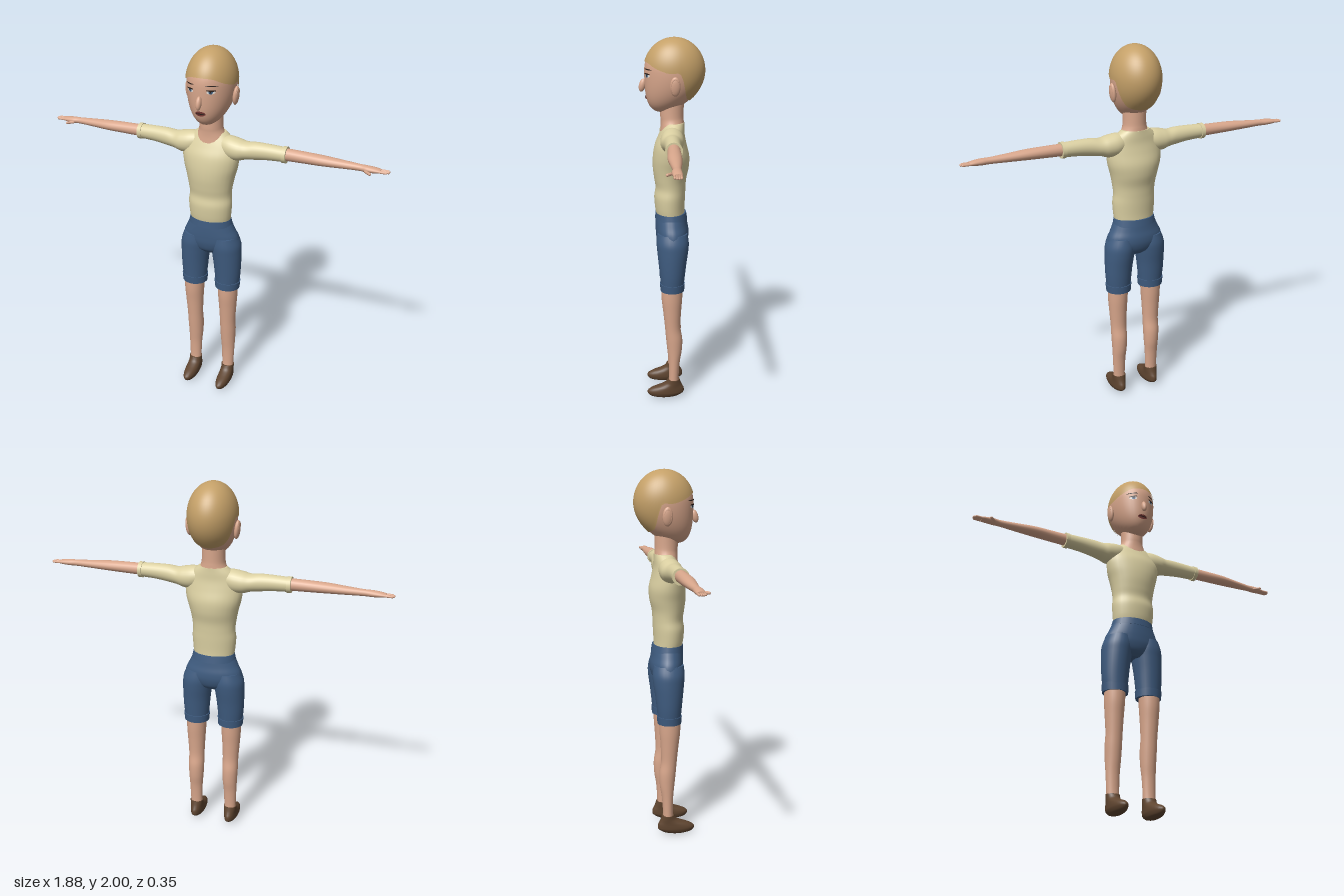
import * as THREE from 'three';

const mat = (name, color) => Object.assign(new THREE.MeshStandardMaterial({ color }), { name });
const skin = mat('skin', 0xd9a78c);
const hair = mat('hair', 0xc4a068);
const cloth = mat('shirt cloth', 0xdbd0a2);
const denim = mat('blue denim', 0x3f5c80);
const leather = mat('brown leather', 0x5f4530);
const dark = mat('dark lash', 0x2e211c);
const white = mat('eye white', 0xe6e2dc);
const blue = mat('iris blue', 0x41688e);
const lip = mat('lip', 0x7a3a36);

// Closed tube surface: fn(angle, t) gives a point; the ends get flat caps if wanted
function tube(fn, nu, nv, capped) {
  const pos = [], idx = [];
  for (let j = 0; j <= nv; j++)
    for (let i = 0; i < nu; i++) pos.push(...fn(i / nu * Math.PI * 2, j / nv));
  for (let j = 0; j < nv; j++)
    for (let i = 0; i < nu; i++) {
      const a = j * nu + i, b = j * nu + (i + 1) % nu;
      idx.push(a, b, b + nu, a, b + nu, a + nu);
    }
  if (capped) for (const end of [0, 1]) {
    const start = pos.length / 3, mid = [0, 0, 0];
    for (let i = 0; i < nu; i++) {
      const p = fn(i / nu * Math.PI * 2, end);
      p.forEach((c, k) => { mid[k] += c / nu; });
      pos.push(...p);
    }
    pos.push(...mid);
    for (let i = 0; i < nu; i++) {
      const a = start + i, b = start + (i + 1) % nu;
      idx.push(...(end ? [a, b, start + nu] : [b, a, start + nu]));
    }
  }
  const g = new THREE.BufferGeometry();
  g.setAttribute('position', new THREE.Float32BufferAttribute(pos, 3));
  g.setIndex(idx);
  g.computeVertexNormals();
  return g;
}

// Smooth loft through elliptical rings.
// axis y: [y, xMin, xMax, zMin, zMax]   axis x: [x, yMin, yMax, zMin, zMax]
function loft(rings, axis = 'y', nu = 28, steps = 5) {
  const n = rings.length - 1;
  const at = (t) => {
    const s = t * n, i = Math.min(Math.floor(s), n - 1), f = s - i;
    const [p, a, b, q] = [-1, 0, 1, 2].map((d) => rings[Math.min(n, Math.max(0, i + d))]);
    return a.map((_, k) => {
      const m0 = (b[k] - p[k]) / 2, m1 = (q[k] - a[k]) / 2;
      return a[k] + f * (m0 + f * (3 * (b[k] - a[k]) - 2 * m0 - m1 + f * (m0 + m1 - 2 * (b[k] - a[k]))));
    });
  };
  return tube((th, t) => {
    const [h, a0, a1, z0, z1] = at(t);
    const ca = (a0 + a1) / 2, ra = (a1 - a0) / 2, cz = (z0 + z1) / 2, rz = (z1 - z0) / 2;
    return axis === 'y'
      ? [ca + ra * Math.sin(th), h, cz + rz * Math.cos(th)]
      : [h, ca + ra * Math.cos(th), cz + rz * Math.sin(th)];
  }, nu, n * steps, true);
}

function mirrored(geo) {
  const g = geo.clone().scale(-1, 1, 1), ix = g.index;
  for (let i = 0; i < ix.count; i += 3) {
    const b = ix.getX(i + 1);
    ix.setX(i + 1, ix.getX(i + 2));
    ix.setX(i + 2, b);
  }
  g.computeVertexNormals();
  return g;
}

// Egg-shaped head: angle around, latitude up
const headPoint = (th, lat, out = 0) => {
  const s = Math.sin(lat), c = Math.cos(lat);
  const cz = -0.014 + (s < 0 ? 0.065 * s * s : 0);
  return [(0.125 + out) * c * Math.sin(th), 1.83 + s * ((s > 0 ? 0.165 : 0.215) + out),
    cz + (0.156 + out) * c * Math.cos(th)];
};

// Thin ellipse laid on the face
function facePatch(x, y, w, h, lift, tilt = 0) {
  const g = new THREE.CircleGeometry(1, 20).scale(w, h, 1).rotateZ(tilt).translate(x, y, 0);
  const p = g.attributes.position;
  for (let i = 0; i < p.count; i++) {
    const d = p.getY(i) - 1.83, lat = Math.asin(d / (d > 0 ? 0.165 : 0.215));
    const th = Math.asin(p.getX(i) / (0.125 * Math.cos(lat)));
    p.setZ(i, headPoint(th, lat)[2] + lift);
  }
  g.computeVertexNormals();
  return g;
}

export function createModel() {
  const model = new THREE.Group();
  const add = (name, geo, material) => {
    const m = new THREE.Mesh(geo, material);
    m.name = name;
    model.add(m);
  };
  const pair = (name, geo, material) => {
    add('left ' + name, geo, material);
    add('right ' + name, mirrored(geo), material);
  };
  const sym = (rows) => rows.map(([y, r, z0, z1]) => [y, -r, r, z0, z1]);

  // Head and neck
  add('head', tube((th, t) => headPoint(th, (t - 0.5) * Math.PI), 40, 32), skin);
  add('neck', loft(sym([[1.5, 0.09, -0.05, 0.062], [1.54, 0.079, -0.064, 0.058], [1.57, 0.066, -0.064, 0.058],
    [1.6, 0.062, -0.063, 0.06], [1.68, 0.062, -0.065, 0.06]])), skin);
  pair('ear', new THREE.SphereGeometry(1, 18, 14).scale(0.015, 0.05, 0.027).rotateZ(-0.1)
    .translate(0.13, 1.763, -0.015), skin);
  pair('ear hollow', new THREE.TorusGeometry(0.7, 0.12, 8, 20).rotateY(Math.PI / 2).scale(0.016, 0.05, 0.027)
    .rotateZ(-0.1).translate(0.139, 1.764, -0.014), skin);
  add('nose', new THREE.SphereGeometry(1, 18, 14).scale(0.015, 0.035, 0.018).rotateX(-0.25)
    .translate(0, 1.755, 0.152), skin);

  // Hair cap with a shaped hairline
  const line = new THREE.SplineCurve([[0, 1.878], [0.5, 1.873], [0.95, 1.848], [1.4, 1.828], [1.75, 1.825],
    [1.95, 1.76], [2.25, 1.705], [2.7, 1.685], [3.142, 1.68]].map(([a, y]) => new THREE.Vector2(a, y))).getPoints(160);
  const hairline = (th) => {
    const a = Math.min(th, Math.PI * 2 - th);
    const d = (line.find((p) => p.x >= a - 0.001) || line[160]).y - 1.83;
    return Math.asin(d / (d > 0 ? 0.165 : 0.215));
  };
  add('hair', tube((th, t) => {
    const low = hairline(th);
    return headPoint(th, low + (Math.PI / 2 - low) * t, 0.005);
  }, 64, 20), hair);

  // Face details
  pair('eye white', facePatch(0.055, 1.81, 0.019, 0.009, 0.002), white);
  pair('iris', facePatch(0.055, 1.81, 0.009, 0.009, 0.0035), blue);
  pair('pupil', facePatch(0.055, 1.81, 0.004, 0.004, 0.005), dark);
  pair('upper lash', facePatch(0.056, 1.819, 0.022, 0.004, 0.005, -0.08), dark);
  pair('eyebrow', facePatch(0.058, 1.842, 0.029, 0.003, 0.003, -0.06), dark);
  add('lips', facePatch(0, 1.695, 0.028, 0.013, 0.004), lip);
  add('mouth line', facePatch(0, 1.695, 0.024, 0.003, 0.006), dark);

  // Shirt
  add('shirt body', loft(sym([[1.06, 0.112, -0.07, 0.083], [1.1, 0.117, -0.07, 0.09], [1.16, 0.121, -0.073, 0.094],
    [1.21, 0.117, -0.075, 0.087], [1.26, 0.122, -0.079, 0.094], [1.32, 0.134, -0.092, 0.101],
    [1.38, 0.15, -0.094, 0.1], [1.44, 0.156, -0.08, 0.09], [1.49, 0.145, -0.07, 0.07],
    [1.53, 0.115, -0.068, 0.053], [1.56, 0.078, -0.067, 0.04]])), cloth);
  pair('sleeve', loft([[0.06, 1.45, 1.545, -0.05, 0.045], [0.11, 1.425, 1.548, -0.06, 0.06],
    [0.16, 1.425, 1.54, -0.058, 0.062], [0.2, 1.437, 1.532, -0.05, 0.054], [0.25, 1.444, 1.537, -0.042, 0.047],
    [0.32, 1.453, 1.537, -0.038, 0.042], [0.41, 1.458, 1.534, -0.037, 0.04]], 'x'), cloth);
  pair('sleeve cuff', loft([[0.397, 1.453, 1.538, -0.042, 0.044], [0.418, 1.453, 1.538, -0.042, 0.044]], 'x'), cloth);

  // Arms and hands
  pair('forearm', loft([[0.38, 1.465, 1.53, -0.03, 0.032], [0.5, 1.468, 1.528, -0.031, 0.035],
    [0.6, 1.471, 1.525, -0.031, 0.037], [0.7, 1.475, 1.518, -0.026, 0.028], [0.79, 1.478, 1.512, -0.019, 0.02],
    [0.83, 1.477, 1.511, -0.021, 0.026], [0.87, 1.48, 1.507, -0.022, 0.024], [0.895, 1.484, 1.502, -0.02, 0.02]],
    'x', 20), skin);
  for (let i = 0; i < 4; i++) {
    const len = [0.045, 0.054, 0.055, 0.048][3 - i];
    pair('finger ' + (i + 1), new THREE.CapsuleGeometry(0.0062, len - 0.006, 4, 8).rotateZ(Math.PI / 2)
      .translate(0.882 + len / 2, 1.492, -0.0145 + i * 0.0098), skin);
  }
  pair('thumb', new THREE.CapsuleGeometry(0.0075, 0.035, 4, 8).rotateZ(-Math.PI / 2).rotateY(-0.7)
    .translate(0.838, 1.487, 0.034), skin);

  // Shorts
  add('shorts hips', loft(sym([[0.865, 0.07, -0.045, 0.045], [0.89, 0.12, -0.075, 0.07], [0.93, 0.158, -0.09, 0.083],
    [0.97, 0.155, -0.092, 0.087], [1.01, 0.136, -0.085, 0.088], [1.055, 0.116, -0.079, 0.087]])), denim);
  add('waistband', loft(sym([[1.035, 0.123, -0.084, 0.09], [1.072, 0.115, -0.078, 0.088]])), denim);
  pair('shorts leg', loft([[0.66, 0.034, 0.163, -0.061, 0.06], [0.73, 0.027, 0.171, -0.069, 0.066],
    [0.8, 0.02, 0.174, -0.077, 0.073], [0.87, 0.01, 0.174, -0.087, 0.08], [0.92, 0.004, 0.17, -0.09, 0.084],
    [0.97, 0.01, 0.152, -0.082, 0.08]]), denim);
  pair('shorts cuff', loft([[0.65, 0.029, 0.168, -0.066, 0.064], [0.692, 0.026, 0.172, -0.069, 0.067]]), denim);

  // Legs
  pair('leg', loft([[0.08, 0.07, 0.135, -0.036, 0.02], [0.14, 0.069, 0.137, -0.037, 0.018],
    [0.22, 0.066, 0.14, -0.043, 0.02], [0.29, 0.06, 0.143, -0.054, 0.027], [0.36, 0.057, 0.146, -0.056, 0.034],
    [0.43, 0.057, 0.146, -0.046, 0.04], [0.52, 0.053, 0.152, -0.049, 0.049], [0.6, 0.048, 0.157, -0.055, 0.058],
    [0.68, 0.044, 0.158, -0.058, 0.06]]), skin);

  // Shoes
  pair('shoe', loft([[0.003, 0.085, 0.12, 0, 0.09], [0.012, 0.073, 0.132, -0.035, 0.125],
    [0.03, 0.066, 0.14, -0.062, 0.14], [0.045, 0.065, 0.141, -0.066, 0.136], [0.06, 0.066, 0.14, -0.064, 0.112],
    [0.075, 0.067, 0.139, -0.056, 0.07], [0.09, 0.067, 0.139, -0.049, 0.04], [0.112, 0.066, 0.14, -0.042, 0.025]]),
    leather);

  return model;
}
